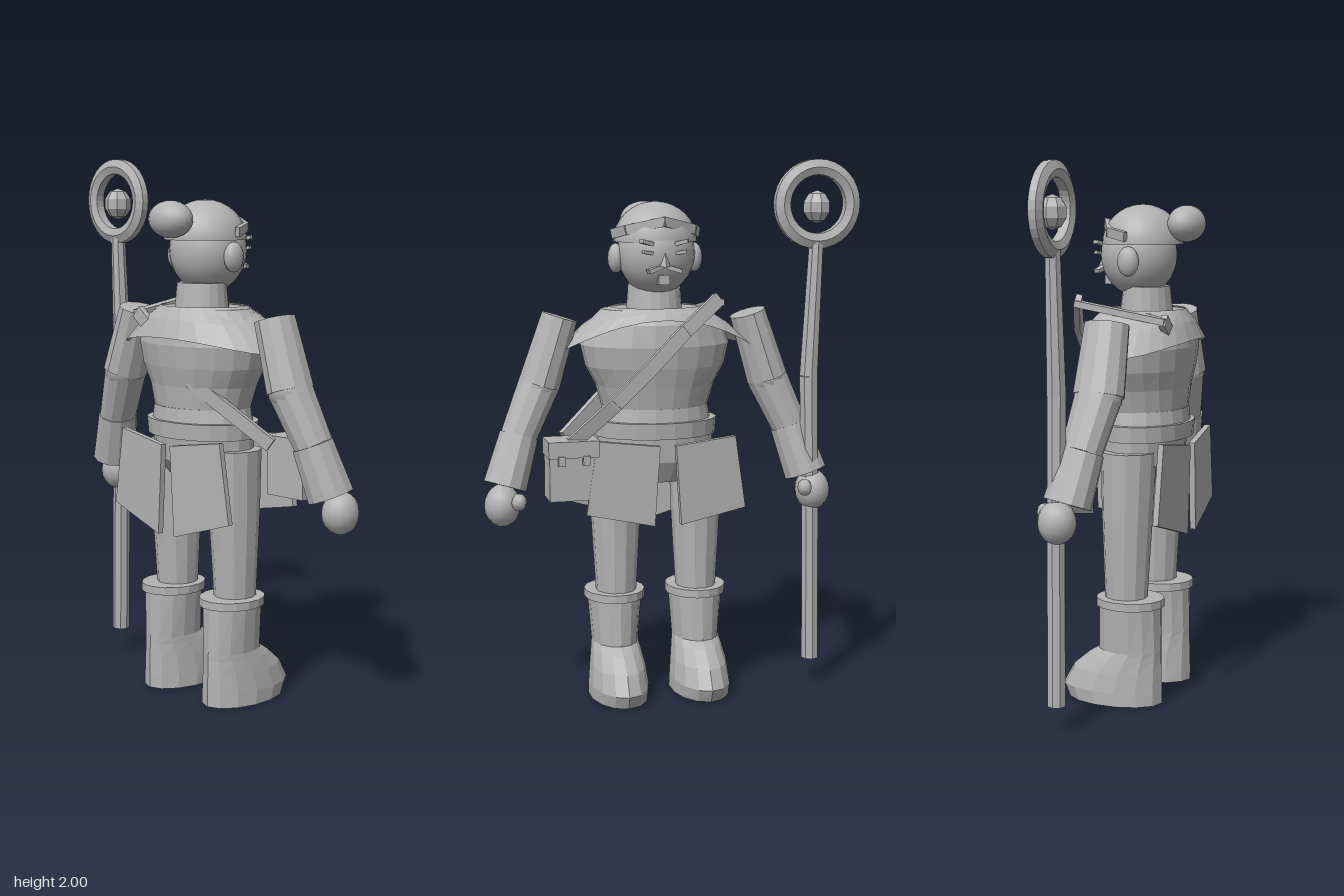
import * as THREE from 'three';

const V = (x, y, z) => new THREE.Vector3(x, y, z);

export function createModel() {
  const grey = new THREE.MeshStandardMaterial({ color: 0xb3b3b3, side: THREE.DoubleSide });
  grey.name = 'grey';
  const model = new THREE.Group();
  const figure = new THREE.Group();
  figure.name = 'figure';
  figure.position.x = 0.047;
  model.add(figure);

  const flat = g => {
    const f = g.index ? g.toNonIndexed() : g;
    f.computeVertexNormals();
    return f;
  };
  const add = (name, geo, parent = figure) => {
    const m = new THREE.Mesh(geo, grey);
    m.name = name;
    parent.add(m);
    return m;
  };
  // Smooth ellipsoid
  const ball = (name, p, rx, ry, rz, w = 20, h = 14) => {
    const m = add(name, new THREE.SphereGeometry(1, w, h));
    m.position.copy(p);
    m.scale.set(rx, ry, rz);
    return m;
  };
  const box = (name, p, w, h, d, tilt = 0) => {
    const m = add(name, new THREE.BoxGeometry(w, h, d));
    m.position.copy(p);
    m.rotation.z = tilt;
    return m;
  };
  // Faceted tapered limb from a down to b
  const limb = (name, a, b, ra, rb, depth = 1, sides = 12) => {
    const d = a.clone().sub(b);
    const g = new THREE.CylinderGeometry(ra, rb, d.length(), sides);
    g.scale(1, 1, depth);
    const m = add(name, flat(g));
    m.position.copy(a).add(b).multiplyScalar(0.5);
    m.quaternion.setFromUnitVectors(V(0, 1, 0), d.normalize());
    return m;
  };
  // Flat bar between two points, with its broad face along the outward direction
  const bar = (name, a, b, width, thick, out) => {
    const d = b.clone().sub(a);
    const len = d.length();
    const y = d.normalize();
    const x = y.clone().cross(out).normalize();
    const m = add(name, new THREE.BoxGeometry(width, len + thick * 0.6, thick));
    m.position.copy(a).lerp(b, 0.5);
    m.quaternion.setFromRotationMatrix(new THREE.Matrix4().makeBasis(x, y, x.clone().cross(y)));
    return m;
  };
  // Capped loft through ascending oval rings: [y, half width, z back, z front]
  const loft = (name, rings, n = 16, cx = 0) => {
    const pos = [], idx = [];
    rings.forEach(([y, rx, z0, z1]) => {
      for (let j = 0; j < n; j++) {
        const a = ((j + 0.5) / n) * Math.PI * 2;
        pos.push(cx + rx * Math.cos(a), y, (z0 + z1) / 2 + ((z0 - z1) / 2) * Math.sin(a));
      }
    });
    const last = (rings.length - 1) * n, c = rings.length * n;
    [rings[0], rings[rings.length - 1]].forEach(r => pos.push(cx, r[0], (r[2] + r[3]) / 2));
    for (let j = 0; j < n; j++) {
      const k = (j + 1) % n;
      for (let i = 0; i < last; i += n) {
        idx.push(i + j, i + n + j, i + k, i + k, i + n + j, i + n + k);
      }
      idx.push(c, j, k, c + 1, last + k, last + j);
    }
    const g = new THREE.BufferGeometry();
    g.setAttribute('position', new THREE.Float32BufferAttribute(pos, 3));
    g.setIndex(idx);
    return add(name, flat(g));
  };

  // Torso, hips and belt
  loft('torso', [
    [1.08, 0.195, 0.175, -0.13], [1.18, 0.225, 0.185, -0.15], [1.25, 0.262, 0.2, -0.165],
    [1.33, 0.28, 0.21, -0.175], [1.41, 0.25, 0.2, -0.165], [1.46, 0.2, 0.16, -0.13],
  ], 20);
  loft('hips', [[0.82, 0.16, 0.1, -0.09], [0.9, 0.215, 0.16, -0.13], [1.02, 0.22, 0.175, -0.135]], 16);
  loft('belt', [[0.99, 0.23, 0.195, -0.15], [1.05, 0.235, 0.2, -0.155]], 20);
  loft('sash', [[1.05, 0.21, 0.185, -0.14], [1.1, 0.2, 0.18, -0.135]], 20);

  // Mantle: a collar ring draped wide over the shoulders
  const mantle = new THREE.CylinderGeometry(1, 1, 1, 28, 2, true);
  const mp = mantle.attributes.position;
  for (let i = 0; i < mp.count; i++) {
    const t = 0.5 - mp.getY(i);
    const ux = mp.getX(i), uz = mp.getZ(i);
    const drop = uz > 0 ? 0.11 + 0.05 * ux * ux : 0.04 + 0.12 * ux * ux;
    const depth = uz > 0 ? 0.165 + 0.055 * t : 0.13 + 0.04 * t;
    mp.setXYZ(i, ux * (0.17 + 0.2 * t), 1.468 - drop * t * (0.6 + 0.4 * t), uz * depth + 0.005);
  }
  add('mantle', flat(mantle));

  // Neck collar and head
  loft('collar', [[1.44, 0.105, 0.125, -0.075], [1.55, 0.097, 0.112, -0.06]], 18);
  ball('face', V(0, 1.665, -0.005), 0.143, 0.155, 0.142, 24, 16);
  const hair = add('hair', new THREE.SphereGeometry(1, 24, 8, 0, Math.PI * 2, 0, Math.PI / 2));
  hair.position.set(0, 1.705, 0.01);
  hair.scale.set(0.154, 0.145, 0.15);
  ball('hairBun', V(0, 1.78, 0.182), 0.093, 0.067, 0.068);
  box('mouth', V(0, 1.572, -0.12), 0.04, 0.035, 0.03);
  const nose = add('nose', flat(new THREE.ConeGeometry(0.02, 0.05, 4)));
  nose.position.set(0, 1.645, -0.148);

  for (const s of [-1, 1]) {
    ball('ear', V(s * 0.148, 1.645, 0.01), 0.03, 0.055, 0.042, 12, 8);
    box('eye', V(s * 0.055, 1.67, -0.136), 0.055, 0.012, 0.016, s * 0.15).rotation.y = s * 0.35;
    box('eyebrow', V(s * 0.06, 1.705, -0.132), 0.06, 0.014, 0.025, s * 0.25).rotation.y = s * 0.4;
    box('moustache', V(s * 0.035, 1.612, -0.142), 0.06, 0.015, 0.025, -s * 0.3).rotation.y = s * 0.25;
    // Headband rising to a point on the forehead
    const band = [V(s * 0.158, 1.735, 0.0), V(s * 0.125, 1.75, -0.075), V(0, 1.78, -0.135)];
    for (let i = 0; i < 2; i++) bar('headband', band[i], band[i + 1], 0.035, 0.016, V(s * 0.6, 0, -1));

    // Arms
    const elbow = V(s * 0.435, 1.19, 0.015), wrist = V(s * 0.52, 1.0, -0.015);
    limb('upperArm', V(s * 0.357, 1.435, 0.015), elbow, 0.068, 0.078, 1.22);
    ball('elbow', elbow, 0.077, 0.077, 0.09, 12, 8);
    limb('forearm', elbow, wrist, 0.078, 0.068, 1.1);
    limb('cuff', V(s * 0.517, 1.005, -0.012), V(s * 0.575, 0.825, -0.045), 0.073, 0.082, 1.08);
    ball('hand', V(s * 0.592, 0.763, -0.078), 0.066, 0.078, 0.07, 14, 10);
    ball('thumb', V(s * 0.54, 0.785, -0.145), 0.028, 0.032, 0.034, 8, 6);

    // Legs and boots
    loft('leg', [
      [0.38, 0.075, 0.085, -0.075], [0.55, 0.085, 0.095, -0.08],
      [0.7, 0.093, 0.105, -0.085], [0.95, 0.1, 0.12, -0.09],
    ], 12, s * 0.155);
    loft('boot', [
      [0, 0.11, 0.15, -0.222], [0.05, 0.11, 0.15, -0.245], [0.12, 0.102, 0.148, -0.205],
      [0.175, 0.092, 0.146, -0.14], [0.2, 0.087, 0.146, -0.1], [0.38, 0.102, 0.142, -0.095],
    ], 14, s * 0.158);
    loft('bootCuff', [[0.37, 0.114, 0.153, -0.107], [0.4, 0.114, 0.153, -0.107]], 16, s * 0.158);

    // Hanging skirt panels, behind and before
    const panel = (name, pts, z, turn) => {
      const shape = new THREE.Shape(pts.map(([x, y]) => new THREE.Vector2(s * x, y)));
      const g = new THREE.ExtrudeGeometry(shape, { depth: 0.022, bevelEnabled: false });
      const m = add(name, g);
      m.position.z = z;
      m.rotation.y = s * turn;
    };
    panel('backPanel', [[0.257, 1.0], [0.02, 0.965], [0.04, 0.63], [0.302, 0.71]], 0.19, 0.08);
    panel('frontPanel', [[0.26, 1.0], [0.03, 0.975], [0.05, 0.68], [0.3, 0.73]], -0.2, -0.08);
  }

  // Shoulder strap: bowed across the chest, over the shoulder and down to the pouch
  const chest = [V(-0.19, 1.5, -0.17), V(-0.06, 1.4, -0.225), V(0.08, 1.26, -0.24),
    V(0.2, 1.14, -0.225), V(0.34, 0.99, -0.13)];
  for (let i = 0; i < 4; i++) bar('chestStrap', chest[i], chest[i + 1], 0.05, 0.024, V(0, 0, -1));
  bar('shoulderStrap', V(-0.19, 1.49, -0.17), V(-0.19, 1.435, 0.165), 0.045, 0.024, V(0, 1, 0));
  bar('backStrap', V(-0.19, 1.435, 0.165), V(0.09, 1.2, 0.16), 0.05, 0.024, V(0, 0, 1));
  bar('backStrap', V(0.09, 1.2, 0.16), V(0.34, 0.99, 0.02), 0.05, 0.024, V(0.4, 0, 1));

  // Belt pouch with clasps
  box('pouch', V(0.345, 0.893, -0.115), 0.175, 0.215, 0.12);
  box('pouchFlap', V(0.345, 0.975, -0.12), 0.185, 0.06, 0.135);
  for (const x of [0.3, 0.39]) box('clasp', V(x, 0.935, -0.185), 0.025, 0.035, 0.02);

  // Staff with a ringed gem
  const sx = -0.592, sz = -0.085;
  const shaft = [V(sx, 1.7, sz), V(sx + 0.022, 1.2, sz), V(sx + 0.01, 0.75, sz), V(sx, 0.1, sz)];
  const radii = [0.028, 0.036, 0.034, 0.034];
  for (let i = 0; i < 3; i++) limb('staff', shaft[i], shaft[i + 1], radii[i], radii[i + 1], 1, 8);
  const profile = [[0.107, -0.018], [0.135, -0.028], [0.164, -0.014], [0.164, 0.014],
    [0.135, 0.028], [0.107, 0.018], [0.107, -0.018]].map(p => new THREE.Vector2(...p));
  const ring = add('staffRing', flat(new THREE.LatheGeometry(profile, 32)));
  ring.rotation.x = Math.PI / 2;
  ring.position.set(sx, 1.838, sz);
  const gem = add('staffGem', flat(new THREE.SphereGeometry(0.054, 8, 5)));
  gem.position.set(sx, 1.828, sz);
  gem.scale.y = 1.12;

  return model;
}
